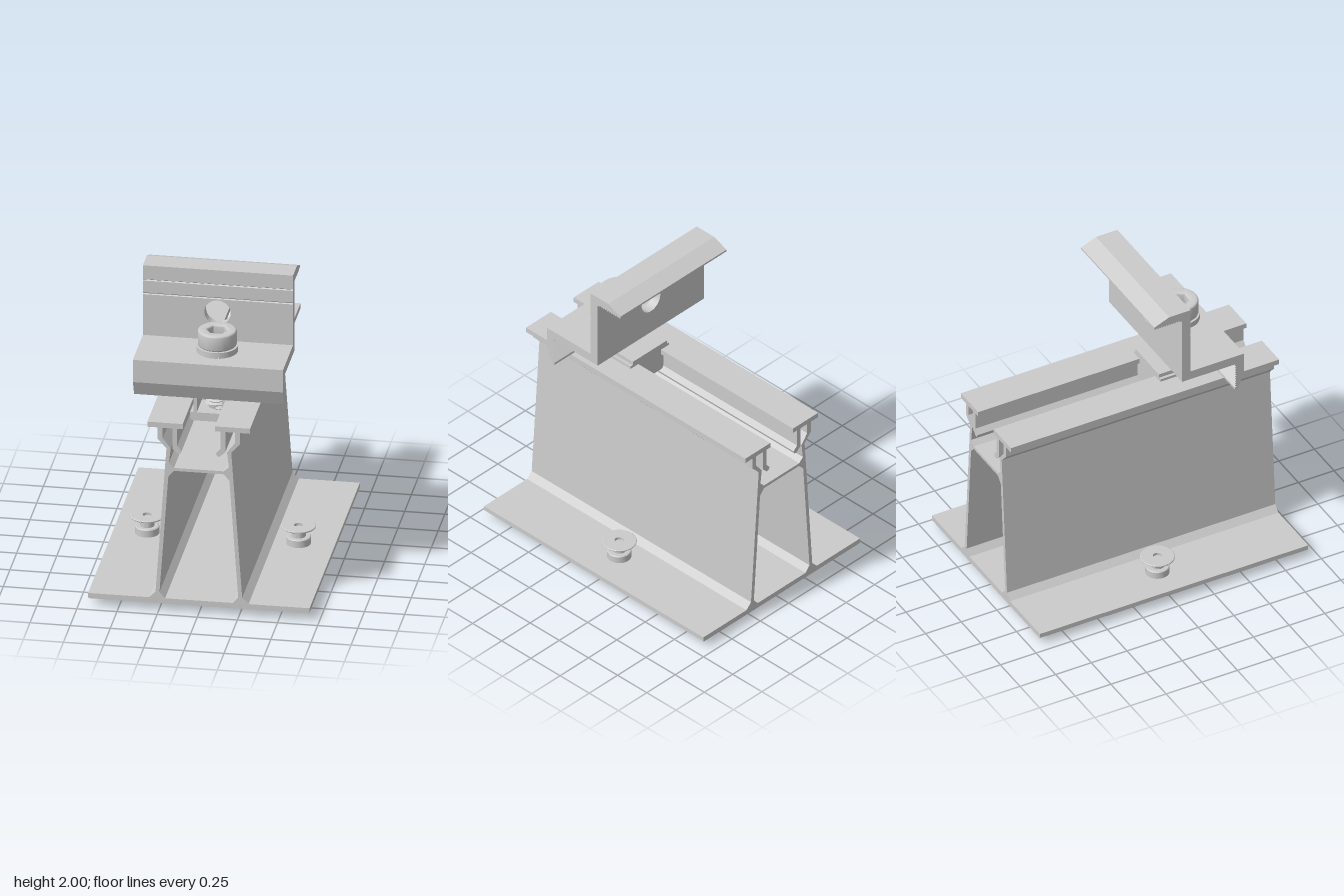
import * as THREE from 'three';
import { toCreasedNormals } from 'three/addons/utils/BufferGeometryUtils.js';

const material = new THREE.MeshStandardMaterial({ color: 0xcccccc });
const CLAMP_LEFT = 0.47, CLAMP_WIDTH = 0.935;
const BOLT_X = 0.03, BOLT_Z = 0.43;

const toShape = (pts) => new THREE.Shape(pts.map(([a, b]) => new THREE.Vector2(a, b)));
const extrude = (shape, depth, extra = {}) =>
  new THREE.ExtrudeGeometry(shape, { depth, bevelEnabled: false, curveSegments: 32, ...extra });

// Profile given as (z, y), swept across x over the clamp width
const sweepX = (pts) =>
  extrude(toShape(pts), CLAMP_WIDTH).rotateY(-Math.PI / 2).translate(CLAMP_LEFT, 0, 0);

const lathe = (pts, segments = 40, crease = 0.6) =>
  toCreasedNormals(new THREE.LatheGeometry(pts.map(([r, y]) => new THREE.Vector2(r, y)), segments), crease);

// Row of saw teeth between two points; (dx, dy) is the offset of every tip
function teeth([x0, y0], [x1, y1], count, dx, dy) {
  const pts = [];
  for (let i = 0; i < count; i++) {
    const a = i / count, b = (i + 0.5) / count;
    pts.push([x0 + (x1 - x0) * a, y0 + (y1 - y0) * a]);
    pts.push([x0 + (x1 - x0) * b + dx, y0 + (y1 - y0) * b + dy]);
  }
  pts.push([x1, y1]);
  return pts;
}

export function createModel() {
  const model = new THREE.Group();
  const add = (name, geometry, parent = model) => {
    const mesh = new THREE.Mesh(geometry, material);
    mesh.name = name;
    parent.add(mesh);
    return mesh;
  };

  // Rail: mirrored half profile with a closed lower cell and open top channel
  const half = [
    [0.69, 0.055], [0.685, 0.05], [0.69, 0.055], [0.69, 0.085], [0.31, 0.085], [0.27, 0.125],
    [0.202, 1.1], [0.257, 1.16], [0.257, 1.236], [0.32, 1.236], [0.32, 1.27], [0.1, 1.27],
    [0.1, 1.236], [0.135, 1.236], [0.135, 1.12], [0.107, 1.088], [0.113, 1.07], [0.13, 1.066],
    [0.165, 1.1], [0.165, 1.236], [0.225, 1.236], [0.225, 1.165], [0.175, 1.1],
    [0.187, 1.0], [0.155, 0.97],
  ].slice(2);
  const cell = [[0.21, 0.085], [0.245, 0.125], [0.19, 0.91], [0.155, 0.95]];
  const mirrored = (pts) => [...pts, ...pts.map(([x, y]) => [-x, y]).reverse()];
  const railShape = toShape(mirrored([[0.685, 0.05], ...half]));
  railShape.holes.push(toShape(mirrored(cell)));
  add('rail', extrude(railShape, 1.88).translate(0, 0, -0.94));

  // Clamp
  const clamp = new THREE.Group();
  clamp.name = 'clamp';
  model.add(clamp);

  // Top lip with serrated underside and two front grooves
  add('clampLip', sweepX([
    [0.18, 1.805], [0.24, 1.805], [0.232, 1.81], [0.24, 1.817],
    [0.24, 1.897], [0.233, 1.902], [0.24, 1.907], [0.24, 2],
    [0.09, 2], [-0.015, 1.957], [-0.015, 1.945],
    ...teeth([-0.005, 1.937], [0.165, 1.937], 10, 0, 0.01), [0.18, 1.937],
  ]), clamp);

  // Upright wall with its round opening
  const wall = toShape([[-0.465, 1.53], [0.47, 1.53], [0.47, 1.805], [-0.465, 1.805]]);
  wall.holes.push(new THREE.Path().absarc(0, 1.715, 0.082, 0, Math.PI * 2, true));
  add('clampWall', toCreasedNormals(extrude(wall, 0.06).translate(0, 0, 0.18), 0.5), clamp);

  // Foot shelf and toothed front leg
  add('clampFoot', sweepX([
    [0.18, 1.47], [0.18, 1.53], [0.615, 1.53], [0.615, 1.38], [0.57, 1.28], [0.55, 1.275],
    ...teeth([0.55, 1.29], [0.55, 1.46], 10, 0.01, 0), [0.55, 1.47],
  ]), clamp);

  // Bolt: socket head, split washer, shank and thread
  const bolt = new THREE.Group();
  bolt.name = 'bolt';
  bolt.position.set(BOLT_X, 0, BOLT_Z);
  model.add(bolt);

  const headShape = new THREE.Shape().absarc(0, 0, 0.12, 0, Math.PI * 2);
  const socket = Array.from({ length: 6 }, (_, i) =>
    [0.064 * Math.cos(i * Math.PI / 3), 0.064 * Math.sin(i * Math.PI / 3)]);
  headShape.holes.push(toShape(socket));
  const head = extrude(headShape, 0.081, {
    bevelEnabled: true, bevelSize: 0.012, bevelThickness: 0.012, bevelOffset: -0.012, bevelSegments: 3,
  });
  add('boltHead', toCreasedNormals(head.rotateX(-Math.PI / 2).translate(0, 1.599, 0), 0.6), bolt);
  add('socketFloor', new THREE.CylinderGeometry(0.1, 0.1, 0.02, 32).translate(0, 1.605, 0), bolt);

  const start = -Math.PI * 0.42, end = start + Math.PI * 2 - 0.05;
  const ring = new THREE.Shape();
  ring.absarc(0, 0, 0.128, start, end, false);
  ring.absarc(0, 0, 0.072, end, start, true);
  ring.closePath();
  add('splitWasher', toCreasedNormals(
    extrude(ring, 0.038).rotateX(-Math.PI / 2).translate(0, 1.549, 0), 0.5), bolt);
  add('boltShank', new THREE.CylinderGeometry(0.07, 0.07, 0.14, 32).translate(0, 1.53, 0), bolt);

  // Ring-grooved lathe sheared by one pitch per turn to make the helix
  const pitch = 0.025, profile = [];
  for (let i = 0; i < 12; i++) profile.push([0.056, 1.17 + i * pitch], [0.075, 1.17 + (i + 0.5) * pitch]);
  const thread = new THREE.LatheGeometry(profile.map(([r, y]) => new THREE.Vector2(r, y)), 32);
  const pos = thread.attributes.position, uv = thread.attributes.uv;
  for (let i = 0; i < pos.count; i++) pos.setY(i, pos.getY(i) + pitch * uv.getX(i));
  add('boltThread', toCreasedNormals(thread, 0.6), bolt);
  add('boltTip', new THREE.CylinderGeometry(0.056, 0.05, 0.03, 32).translate(0, 1.175, 0), bolt);

  // Channel nut: plate over the flanges, neck in the slot, rounded block below
  const nut = new THREE.Group();
  nut.name = 'channelNut';
  model.add(nut);
  const box = (name, w, y0, y1, z0, z1, x = 0) =>
    add(name, new THREE.BoxGeometry(w, y1 - y0, z1 - z0).translate(x, (y0 + y1) / 2, (z0 + z1) / 2), nut);
  box('nutPlate', 0.34, 1.272, 1.29, 0.19, 0.55);
  box('nutPlateTop', 0.3, 1.29, 1.315, 0.19, 0.55);
  box('nutNeck', 0.196, 1.2, 1.272, 0.19, 0.36);
  for (const side of [-1, 1]) box('nutSide', 0.02, 1.17, 1.272, 0.36, 0.55, side * 0.088);
  const block = (top) => toShape([
    [-0.1, 1.12], [0.1, 1.12], [0.113, 1.125], [0.12, 1.14], [0.12, top],
    [-0.12, top], [-0.12, 1.14], [-0.113, 1.125],
  ]);
  add('nutBlock', extrude(block(1.234), 0.17).translate(0, 0, 0.19), nut);
  add('nutFloor', extrude(block(1.175), 0.19).translate(0, 0, 0.36), nut);

  // Rivets through the base plate
  const rivet = lathe([
    [0, 0.02], [0.026, 0.02], [0.042, 0], [0.055, 0], [0.066, 0.006], [0.073, 0.018], [0.074, 0.032],
    [0.07, 0.048], [0.06, 0.05], [0.06, 0.085], [0.075, 0.085], [0.075, 0.13], [0.07, 0.135],
    [0.044, 0.135], [0.044, 0.195], [0.104, 0.195], [0.108, 0.199], [0.108, 0.204], [0.104, 0.207],
    [0.028, 0.207], [0.028, 0.19], [0, 0.19],
  ]);
  for (const x of [-0.478, 0.465]) add('rivet', rivet).position.x = x;

  return model;
}
